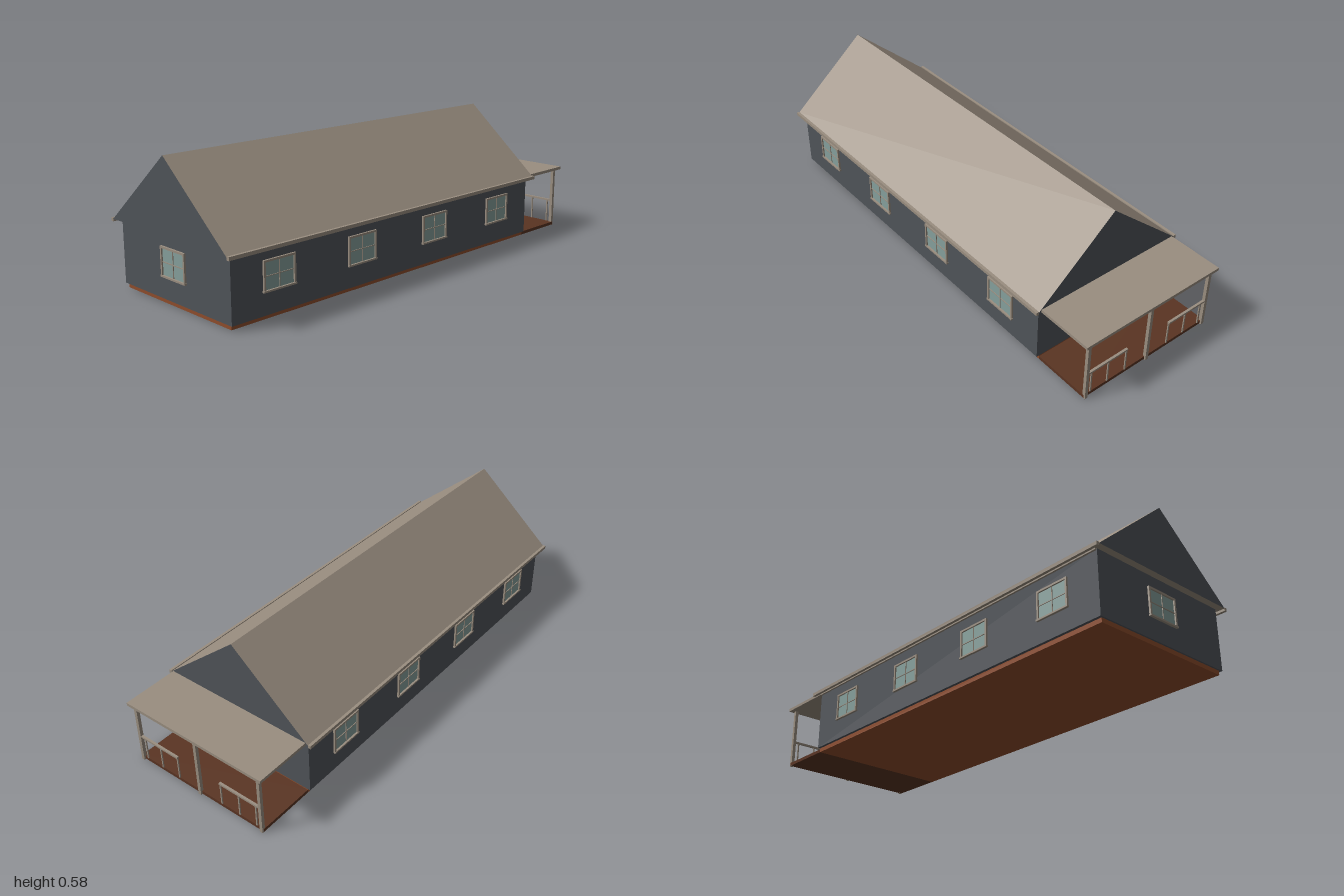
import * as THREE from 'three';

const mat = (name, color) => {
  const m = new THREE.MeshStandardMaterial({ color });
  m.name = name;
  return m;
};

export function createModel() {
  const wall = mat('slate wall', 0x505459);
  const roofing = mat('taupe roof and trim', 0x9a8e80);
  const glass = mat('pale glass', 0x86a09c);
  const brick = mat('red brown foundation', 0x8f4d2c);
  const decking = mat('dark brown deck', 0x5a3422);

  const model = new THREE.Group();
  model.name = 'house';

  // Box given by its minimum and maximum corners
  const box = (parent, name, material, [x0, y0, z0], [x1, y1, z1]) => {
    const mesh = new THREE.Mesh(new THREE.BoxGeometry(x1 - x0, y1 - y0, z1 - z0), material);
    mesh.position.set((x0 + x1) / 2, (y0 + y1) / 2, (z0 + z1) / 2);
    mesh.name = name;
    parent.add(mesh);
    return mesh;
  };

  // Main body
  box(model, 'foundation', brick, [-0.323, 0.002, -0.73], [0.323, 0.02, 0.965]);
  box(model, 'walls', wall, [-0.335, 0.02, -0.73], [0.335, 0.28, 0.972]);

  // Gabled roof: slate gable ends, taupe slopes
  const gable = new THREE.Shape([
    new THREE.Vector2(-0.355, 0.28),
    new THREE.Vector2(0.355, 0.28),
    new THREE.Vector2(0, 0.58),
  ]);
  const roof = new THREE.Mesh(
    new THREE.ExtrudeGeometry(gable, { depth: 1.755, bevelEnabled: false }),
    [wall, roofing]
  );
  roof.position.z = -0.755;
  roof.name = 'roof';
  model.add(roof);

  // Gutters and soffit trim along both eaves
  for (const s of [-1, 1]) {
    const gutter = box(model, 'gutter', roofing, [-0.006, 0.27, -0.755], [0.006, 0.284, 1]);
    gutter.position.x = s * 0.361;
    const trim = box(model, 'eaveTrim', roofing, [-0.005, 0.274, -0.73], [0.005, 0.28, 0.97]);
    trim.position.x = s * 0.338;
  }

  // Four-pane window facing +z, its back on z = 0
  const addWindow = (x, z, turn) => {
    const w = new THREE.Group();
    w.name = 'window';
    box(w, 'windowGlass', glass, [-0.068, 0.115, -0.001], [0.068, 0.221, 0.002]);
    for (const s of [-1, 1]) {
      const jamb = box(w, 'windowJamb', roofing, [-0.004, 0.115, 0], [0.004, 0.228, 0.008]);
      jamb.position.x = s * 0.071;
    }
    box(w, 'windowHead', roofing, [-0.067, 0.22, 0], [0.067, 0.228, 0.008]);
    box(w, 'windowSill', roofing, [-0.077, 0.108, 0], [0.077, 0.115, 0.01]);
    box(w, 'windowMullion', roofing, [-0.0015, 0.115, 0], [0.0015, 0.22, 0.005]);
    box(w, 'windowTransom', roofing, [-0.067, 0.1655, 0], [0.067, 0.1685, 0.005]);
    w.position.set(x, 0, z);
    w.rotation.y = turn;
    model.add(w);
  };
  addWindow(0, 0.972, 0);
  for (const z of [0.755, 0.335, -0.09, -0.51]) {
    addWindow(0.335, z, Math.PI / 2);
    addWindow(-0.335, z, -Math.PI / 2);
  }

  // Back door with frame
  box(model, 'door', roofing, [-0.058, 0.02, -0.734], [0.058, 0.23, -0.729]);
  for (const s of [-1, 1]) {
    const jamb = box(model, 'doorJamb', roofing, [-0.004, 0.02, -0.738], [0.004, 0.238, -0.729]);
    jamb.position.x = s * 0.062;
  }
  box(model, 'doorHead', roofing, [-0.058, 0.23, -0.738], [0.058, 0.238, -0.729]);

  // Porch
  const porch = new THREE.Group();
  porch.name = 'porch';
  model.add(porch);
  box(porch, 'deck', decking, [-0.323, 0.002, -0.98], [0.323, 0.016, -0.73]);
  box(porch, 'porchRoof', roofing, [-0.343, 0.275, -1], [0.343, 0.288, -0.73]);
  for (const x of [-0.315, 0, 0.315]) {
    box(porch, 'post', roofing, [x - 0.007, 0, -0.987], [x + 0.007, 0.275, -0.973]);
  }

  // Railings on either side of the entrance
  for (const s of [-1, 1]) {
    const rail = box(porch, 'handrail', roofing, [-0.1, 0.117, -0.985], [0.1, 0.125, -0.975]);
    rail.position.x = s * 0.21;
    for (const x of [0.113, 0.205, 0.29]) {
      box(porch, 'baluster', roofing, [s * x - 0.003, 0.016, -0.982], [s * x + 0.003, 0.117, -0.977]);
    }
  }

  return model;
}
